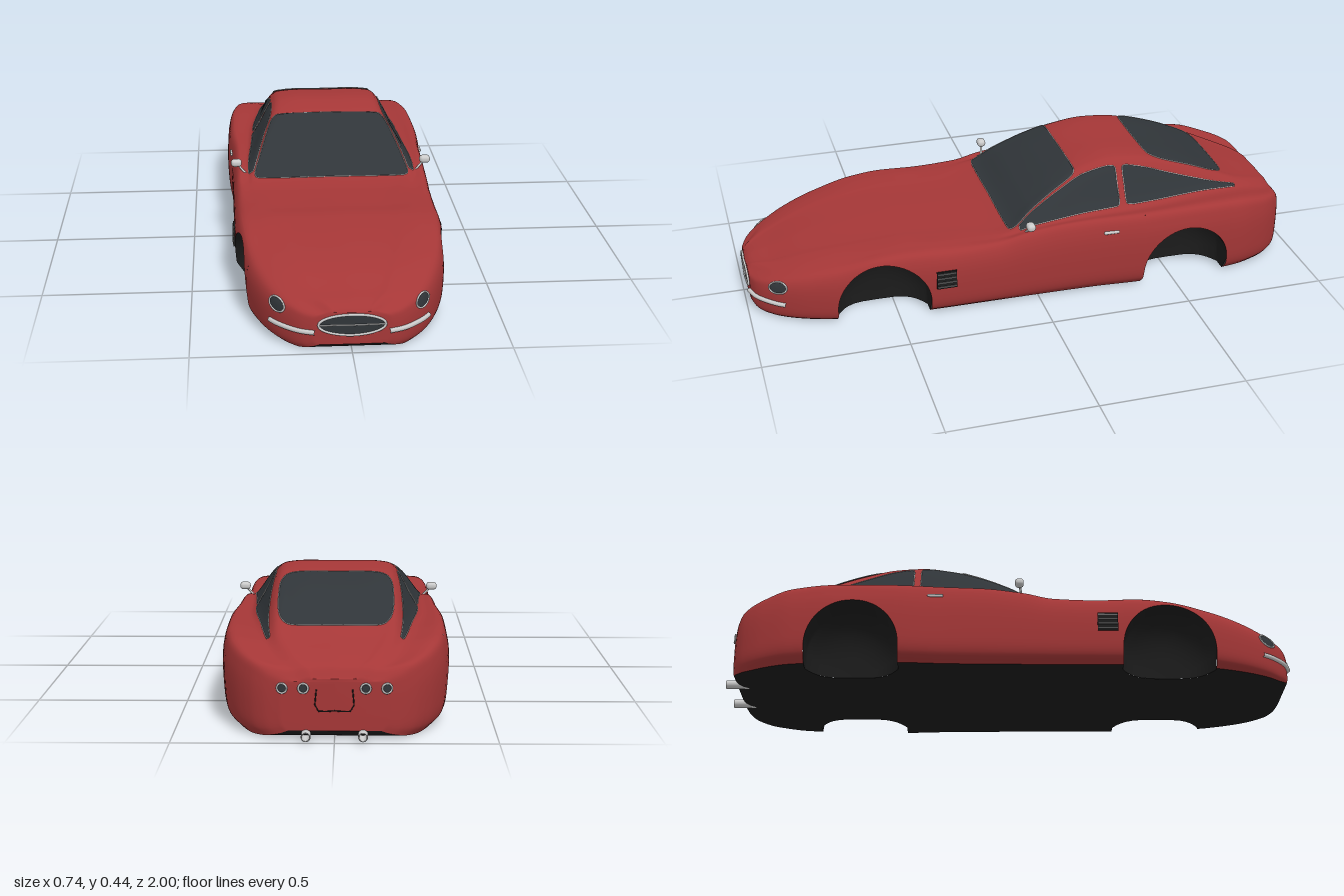
import * as THREE from 'three';
import { RoundedBoxGeometry } from 'three/addons/geometries/RoundedBoxGeometry.js';

const V = (x, y, z) => new THREE.Vector3(x, y, z);
const mat = (color, side = THREE.FrontSide) => new THREE.MeshStandardMaterial({ color, side });
const paint = mat(0xa53737), glass = mat(0x303539, THREE.DoubleSide), metal = mat(0xcccccc);
const dark = mat(0x1c1c1c, THREE.DoubleSide);

// Smooth, overshoot-free profile through [z, value] pairs (z descending)
function profile(...p) {
  const d = p.slice(1).map((q, i) => (q[1] - p[i][1]) / (q[0] - p[i][0]));
  const m = p.map((_, i) => {
    const a = d[i - 1] ?? d[i], b = d[i] ?? d[i - 1];
    return a * b <= 0 ? 0 : 2 * a * b / (a + b);
  });
  return z => {
    z = Math.min(p[0][0], Math.max(p.at(-1)[0], z));
    let i = 0;
    while (i < p.length - 2 && z < p[i + 1][0]) i++;
    const h = p[i + 1][0] - p[i][0], t = (z - p[i][0]) / h, t2 = t * t, t3 = t2 * t;
    return p[i][1] * (2 * t3 - 3 * t2 + 1) + m[i] * h * (t3 - 2 * t2 + t)
      + p[i + 1][1] * (3 * t2 - 2 * t3) + m[i + 1] * h * (t3 - t2);
  };
}
const FRONT = 0.985, REAR = -0.967, FLOOR = .004;
const halfWidth = profile([.985, .115], [.97, .155], [.94, .195], [.89, .24], [.8, .288], [.7, .32], [.55, .342], [.4, .351],
  [0, .354], [-.2, .358], [-.4, .37], [-.6, .367], [-.75, .35], [-.85, .312], [-.92, .26], [-.95, .215], [-.967, .16]);
const sillY = profile([.985, .028], [.97, .014], [.94, .006], [.85, FLOOR], [-.87, FLOOR], [-.93, .01], [-.955, .02], [-.967, .035]);
const shoulderY = profile([.985, .118], [.95, .135], [.9, .15], [.8, .18], [.7, .205], [.55, .236], [.45, .243], [.3, .238],
  [.15, .244], [.05, .265], [-.1, .282], [-.3, .286], [-.6, .289], [-.75, .28], [-.85, .257], [-.93, .231], [-.967, .185]);
const baseY = profile([.985, .13], [.9, .165], [.7, .218], [.45, .252], [.2, .245], [.1, .252], [0, .275], [-.2, .285],
  [-.6, .288], [-.75, .277], [-.9, .238], [-.945, .222], [-.967, .19]);
const roofY = profile([.985, .135], [.975, .146], [.95, .158], [.9, .173], [.8, .205], [.7, .226], [.55, .246], [.45, .254],
  [.35, .248], [.2, .247], [.1, .257], [0, .325], [-.1, .385], [-.2, .43], [-.3, .447], [-.4, .44], [-.5, .415], [-.6, .38],
  [-.7, .335], [-.8, .29], [-.9, .252], [-.945, .23], [-.967, .198]);
const baseX = profile([.985, .08], [.9, .17], [.8, .23], [.6, .27], [.3, .28], [.1, .3], [0, .3], [-.2, .29], [-.4, .28],
  [-.6, .252], [-.75, .225], [-.9, .18], [-.967, .1]);
const edgeX = profile([.985, .06], [.9, .12], [.6, .2], [.25, .225], [.1, .282], [0, .254], [-.1, .225], [-.2, .198],
  [-.3, .192], [-.6, .192], [-.75, .185], [-.9, .13], [-.967, .07]);

// Body skin: u 0 = left sill, 4 = shoulder, 5 = window base, 6 = roof edge, 8 = centre, 16 = right sill
function skin(z, u) {
  if (u > 8) return skin(z, 16 - u).multiply(V(-1, 1, 1));
  const w = halfWidth(z), y0 = sillY(z), ys = shoulderY(z), yb = baseY(z), yr = roofY(z), xe = edgeX(z);
  const c = new THREE.CatmullRomCurve3([V(.88 * w, y0, z), V(.965 * w, y0 + .12 * (ys - y0), z), V(w, y0 + .42 * (ys - y0), z),
    V(.99 * w, y0 + .83 * (ys - y0), z), V(.935 * w, ys, z), V(baseX(z), yb, z),
    V(xe, yb + .9 * (yr - yb), z), V(.77 * xe, yr - .002, z), V(0, yr, z)]);
  return c.getPoint(u / 8);
}
function raised(z, u, d) {
  const e = .003, a = skin(Math.min(FRONT, z + e), u).sub(skin(Math.max(REAR, z - e), u));
  const b = skin(z, Math.min(16, u + .02)).sub(skin(z, Math.max(0, u - .02)));
  return skin(z, u).addScaledVector(b.cross(a).normalize(), d);
}
function uAt(z, y) {
  let lo = 0, hi = 4;
  for (let i = 0; i < 24; i++) { const m = (lo + hi) / 2; skin(z, m).y < y ? lo = m : hi = m; }
  return lo;
}
// Surface from rows of points; with split, rows at the same z are left unjoined
function loft(rows, split = false) {
  const n = rows[0].length, idx = [];
  for (let i = 0; i < rows.length - 1; i++) {
    if (split && Math.abs(rows[i][0].z - rows[i + 1][0].z) < 1e-6) continue;
    for (let j = 0; j < n - 1; j++) {
      const a = i * n + j, b = a + n;
      idx.push(a, b, a + 1, b, b + 1, a + 1);
    }
  }
  const g = new THREE.BufferGeometry().setFromPoints(rows.flat());
  g.setIndex(idx);
  g.computeVertexNormals();
  return g;
}

const R = .16, ARCH_Y = .06, ARCHES = [.55, -.54];
const wellX = k => .19 + .08 * k ** 4; // dome depth, k = 0 at the hub, 1 at the rim
// Lengthwise stations, doubled at the arch ends so the side panel is cut cleanly
function stations() {
  const list = [], run = (a, b, n) => { for (let i = 0; i <= n; i++) list.push({ z: a + (b - a) * i / n }); };
  const arch = c => { for (let i = 0; i <= 28; i++) { const t = Math.PI * i / 28;
    list.push({ z: c + R * Math.cos(t), cut: ARCH_Y + R * Math.sin(t), k: Math.abs(Math.cos(t)) }); } };
  run(FRONT, .91, 16); run(.905, ARCHES[0] + R, 12); arch(ARCHES[0]);
  run(ARCHES[0] - R, ARCHES[1] + R, 50); arch(ARCHES[1]);
  run(ARCHES[1] - R, -.9, 12); run(-.903, REAR, 16);
  return list;
}

export function createModel() {
  const car = new THREE.Group();
  const add = (name, geo, m) => { const o = new THREE.Mesh(geo, m); o.name = name; car.add(o); return o; };
  const tube = (name, pts, r, m = metal, closed = false) =>
    add(name, new THREE.TubeGeometry(new THREE.CatmullRomCurve3(pts, closed), pts.length * 2, r, 8, closed), m);

  // Body shell
  const st = stations();
  const rows = st.map(({ z, cut }) => {
    const u0 = cut ? uAt(z, cut) : 0, half = [];
    for (let k = 0; k < 24; k++) half.push(skin(z, u0 + (4 - u0) * k / 24));
    for (let k = 0; k <= 28; k++) half.push(skin(z, 4 + k / 7));
    return [...half, ...half.slice(0, -1).reverse().map(p => V(-p.x, p.y, p.z))];
  });
  const cap = (row, dz) => row.map(p => V(0, p.y, p.z + dz));
  const body = add('body', loft([cap(rows[0], .003), ...rows, cap(rows.at(-1), -.003)], true), paint);

  // Floor, notched to follow the wheel wells
  add('floor', loft(st.map(({ z, cut, k }) => {
    const x = cut ? wellX(k) : skin(z, 0).x;
    return [V(-x, sillY(z), z), V(x, sillY(z), z)];
  }), true), dark);

  // Domed wheel wells
  for (const c of ARCHES) for (const s of [1, -1]) {
    const rim = [[c + R, FLOOR]];
    for (let i = 0; i <= 28; i++) rim.push([c + R * Math.cos(Math.PI * i / 28), ARCH_Y + R * Math.sin(Math.PI * i / 28)]);
    rim.push([c - R, FLOOR]);
    const ring = (k, x) => rim.map(([z, y]) =>
      V(s * (x ?? skin(z, uAt(z, y)).x), FLOOR + (y - FLOOR) * k, c + (z - c) * k));
    add('wheelWell', loft([ring(1), ...[1, .97, .93, .87, .8, .7, .55, .35, 0].map(k => ring(k, wellX(k)))]), dark);
  }

  // Windows: rounded patches of the skin with thin trim; drop lowers the upper edge towards the back
  function pane(name, z0, z1, u0, u1, n, drop = 0, m = 0) {
    const g = [], N = 28;
    for (let i = 0; i <= N; i++) {
      const s = -Math.cos(Math.PI * i / N), h = Math.max(.02, (1 - Math.abs(s) ** n) ** (1 / n)), row = [];
      const top = u1 - drop * (s + 1) / 2, mid = (u0 + top) / 2;
      for (let j = 0; j <= 24; j++) {
        const u = mid + (top - u0) * h * (j / 24 - .5) * (m ? -1 : 1);
        row.push(raised(z0 + (z1 - z0) * (s + 1) / 2, m ? 16 - u : u, .003));
      }
      g.push(row);
    }
    add(name, loft(g), glass);
    tube(name + 'Trim', [...g.map(r => r[0]), ...g.map(r => r.at(-1)).reverse()], .0014, metal, true);
  }
  pane('windscreen', .095, -.168, 6.04, 9.96, 11);
  pane('rearWindow', -.44, -.745, 6.14, 9.86, 3.6);
  for (const m of [0, 1]) {
    pane('doorWindow', .06, -.312, 5.1, 5.9, 16, 0, m);
    pane('quarterWindow', -.337, -.775, 5.1, 5.9, 16, .5, m);
  }

  // Place details on the body by casting straight at it
  const ray = new THREE.Raycaster();
  const cast = (from, dir) => { ray.set(from, dir); return ray.intersectObject(body)[0]?.point; };
  const onEnd = (x, y, f) => cast(V(x, y, 2 * f), V(0, 0, -f)) ?? V(x, y, f > 0 ? FRONT : REAR);
  const onSide = (y, z, s) => cast(V(s, y, z), V(-s, 0, 0)) ?? V(s * halfWidth(z), y, z);
  function oval(name, cx, cy, rx, ry, f, r) {
    const rings = [0, .35, .7, 1].map(k => Array.from({ length: 33 }, (_, i) => {
      const t = i / 32 * Math.PI * 2;
      return onEnd(cx + k * rx * Math.cos(t), cy + k * ry * Math.sin(t), f).add(V(0, 0, .003 * f));
    }));
    add(name, loft(rings), glass);
    tube(name + 'Ring', rings[3].slice(0, -1), r, metal, true);
  }
  const across = (x0, x1, y, f) => Array.from({ length: 9 }, (_, i) => onEnd(x0 + (x1 - x0) * i / 8, y, f).add(V(0, 0, .004 * f)));

  // Grille, licence panel outline
  oval('grille', 0, .094, .104, .034, 1, .004);
  tube('grilleBar', across(-.1, .1, .094, 1), .0025);
  tube('platePanelOutline', [[-.055, .165], [-.055, .1], [0, .098], [.055, .1], [.055, .165]]
    .map(([x, y]) => onEnd(x, y, -1)), .002, dark);

  for (const s of [1, -1]) {
    // Lamps and bumpers
    oval('headlight', s * .228, .131, .022, .021, 1, .003);
    for (const x of [.095, .16]) oval('tailLight', s * x, .168, .015, .015, -1, .003);
    tube('bumper', across(s * .115, s * .25, .07, 1), .008);

    // Exhaust pipe
    const pipe = [[.012, 0], [.015, 0], [.015, .1], [.011, .1], [.011, .02], [0, .02]].map(p => new THREE.Vector2(...p));
    const ex = add('exhaustPipe', new THREE.LatheGeometry(pipe, 20), mat(0xcccccc, THREE.DoubleSide));
    ex.rotation.x = -Math.PI / 2;
    ex.position.set(s * .087, .023, -.9);

    // Side vent with slats
    const vent = onSide(.145, .337, s);
    add('sideVent', new THREE.BoxGeometry(.008, .066, .07), dark).position.copy(vent);
    for (let i = 0; i < 4; i++) {
      const slat = add('ventSlat', new THREE.BoxGeometry(.008, .004, .066), mat(0x666666));
      slat.position.set(vent.x + s * .003, .12 + i * .0167, .337);
    }

    // Door handle and mirror
    add('doorHandle', new RoundedBoxGeometry(.012, .01, .055, 3, .004), metal).position.copy(onSide(.241, -.255, s));
    add('mirror', new RoundedBoxGeometry(.038, .027, .03, 5, .012), metal).position.set(s * .341, .299, .035);
    tube('mirrorStalk', [V(s * .303, .256, .045), V(s * .322, .277, .04), V(s * .338, .295, .036)], .004);
  }
  return car;
}
